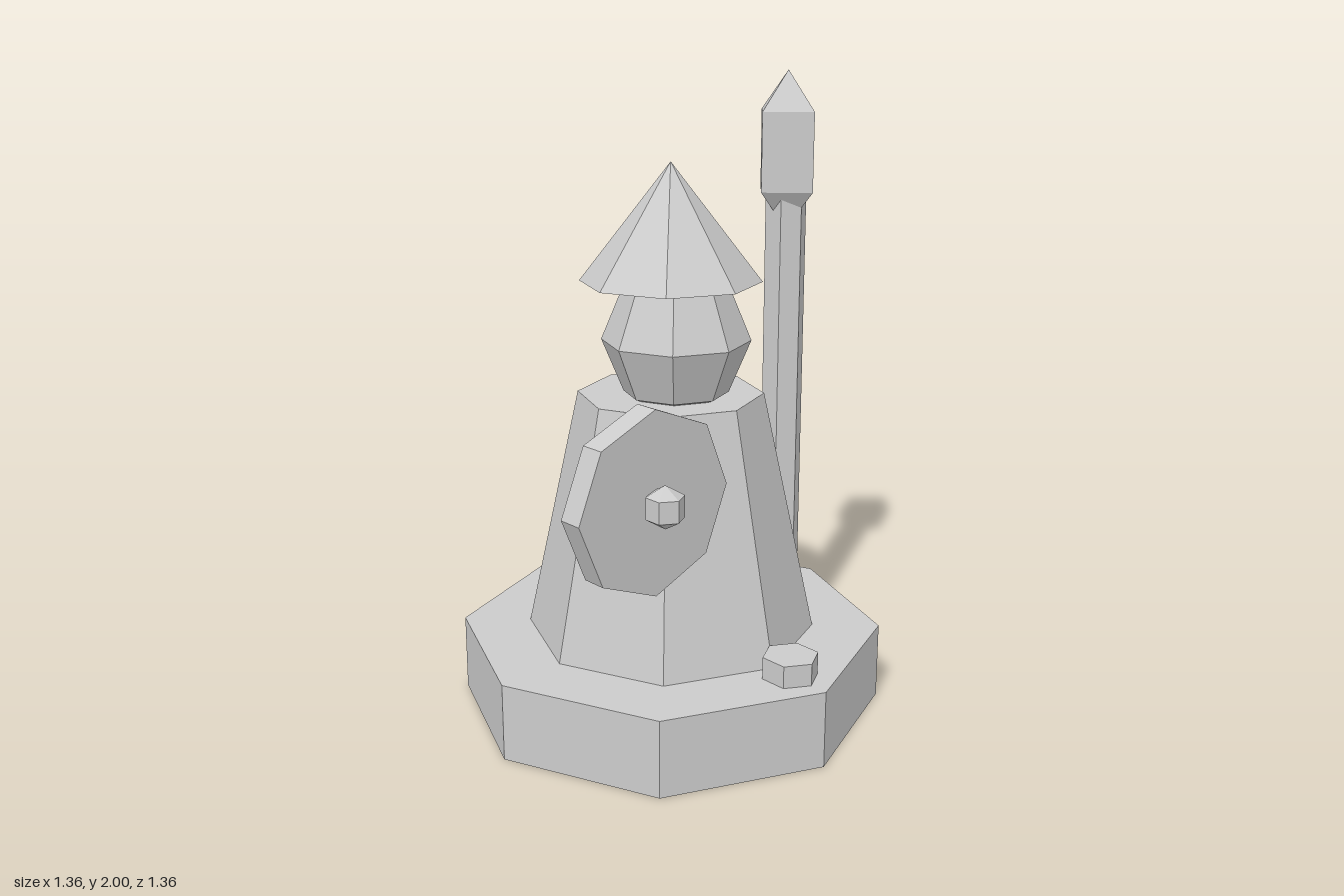
import * as THREE from 'three';

const material = new THREE.MeshStandardMaterial({ color: 0xcccccc, flatShading: true });

export function createModel() {
  const model = new THREE.Group();

  const add = (name, geometry, x, y, z) => {
    const mesh = new THREE.Mesh(geometry, material);
    mesh.name = name;
    mesh.position.set(x, y, z);
    model.add(mesh);
    return mesh;
  };

  // Upright prism or frustum standing between two heights
  const prism = (name, rTop, rBottom, y0, y1, sides, x = 0, z = 0) =>
    add(name, new THREE.CylinderGeometry(rTop, rBottom, y1 - y0, sides), x, (y0 + y1) / 2, z);

  // Coarse faceted ball with a corner facing the front
  const ball = (name, r, sides, rings, x, y, z, stretch = 1) => {
    const geometry = new THREE.SphereGeometry(r, sides, rings);
    geometry.rotateY(Math.PI / 2).scale(1, stretch, 1);
    return add(name, geometry, x, y, z);
  };

  // Plinth with a peg at the front and back
  prism('base', 0.68, 0.68, 0, 0.245, 8);
  for (const [name, side] of [['frontPeg', 1], ['backPeg', -1]]) {
    prism(name, 0.087, 0.087, 0.235, 0.315, 6, 0, side * 0.535);
  }

  // Figure: robe, head and pointed hat
  prism('robe', 0.293, 0.463, 0.245, 1.027, 8);
  ball('head', 0.233, 8, 4, 0, 1.2, 0.025);
  add('hat', new THREE.ConeGeometry(0.283, 0.365, 8), 0, 1.5625, 0);

  // Staff and its four-sided head
  prism('staff', 0.069, 0.069, 0.24, 1.62, 6, 0.51);
  ball('staffHead', 0.135, 4, 3, 0.51, 1.745, 0, 0.255 / 0.135);

  // Shield facing the front, with a central boss
  const shield = new THREE.CylinderGeometry(0.281, 0.281, 0.078, 8).rotateX(Math.PI / 2);
  add('shield', shield, -0.367, 0.83, 0.302);
  ball('shieldBoss', 0.066, 6, 3, -0.367, 0.832, 0.38);

  return model;
}
